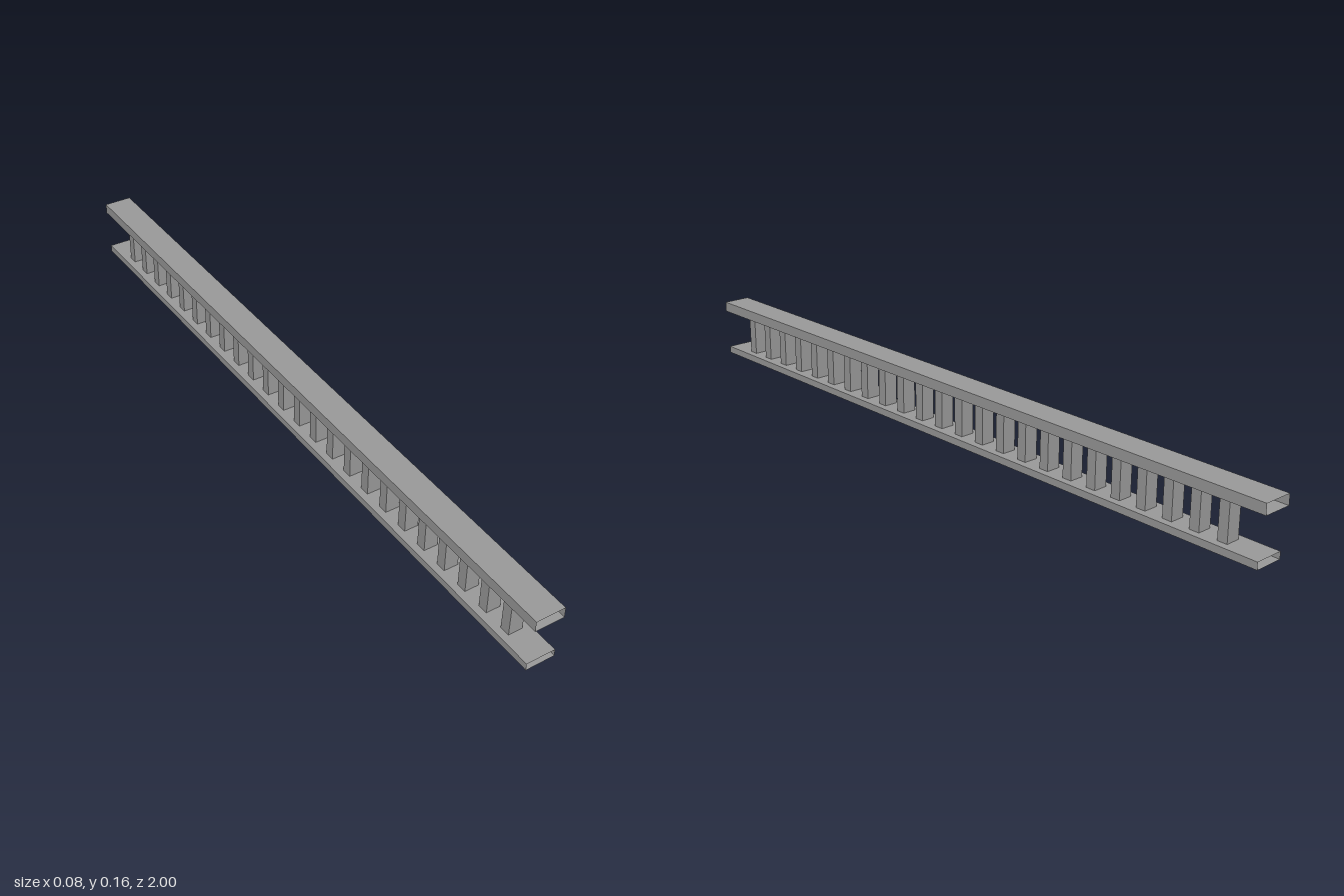
import * as THREE from 'three';

const material = new THREE.MeshStandardMaterial({ color: 0x999999, flatShading: true, side: THREE.DoubleSide });

// Hollow rectangular rail along z with open ends
function rail(name, width, y0, y1, zBack, zFront) {
  const geometry = new THREE.BoxGeometry(width, y1 - y0, zFront - zBack);
  geometry.setIndex(Array.from(geometry.index.array).slice(0, 24)); // drop both end faces
  geometry.clearGroups();
  const mesh = new THREE.Mesh(geometry, material);
  mesh.name = name;
  mesh.position.set(0, (y0 + y1) / 2, (zBack + zFront) / 2);
  return mesh;
}

export function createModel() {
  const model = new THREE.Group();
  model.name = 'railing';

  model.add(rail('topRail', 0.078, 0.128, 0.156, -1, 1));
  model.add(rail('bottomRail', 0.078, 0, 0.019, -0.989, 0.989));

  // Evenly spaced balusters between the rails
  const balusters = new THREE.Group();
  balusters.name = 'balusters';
  const count = 24, first = 0.89, last = -0.88;
  const geometry = new THREE.BoxGeometry(0.0385, 0.107, 0.027);
  for (let i = 0; i < count; i++) {
    const baluster = new THREE.Mesh(geometry, material);
    baluster.name = 'baluster';
    baluster.position.set(0, 0.0725, THREE.MathUtils.lerp(first, last, i / (count - 1)));
    balusters.add(baluster);
  }
  model.add(balusters);
  return model;
}
